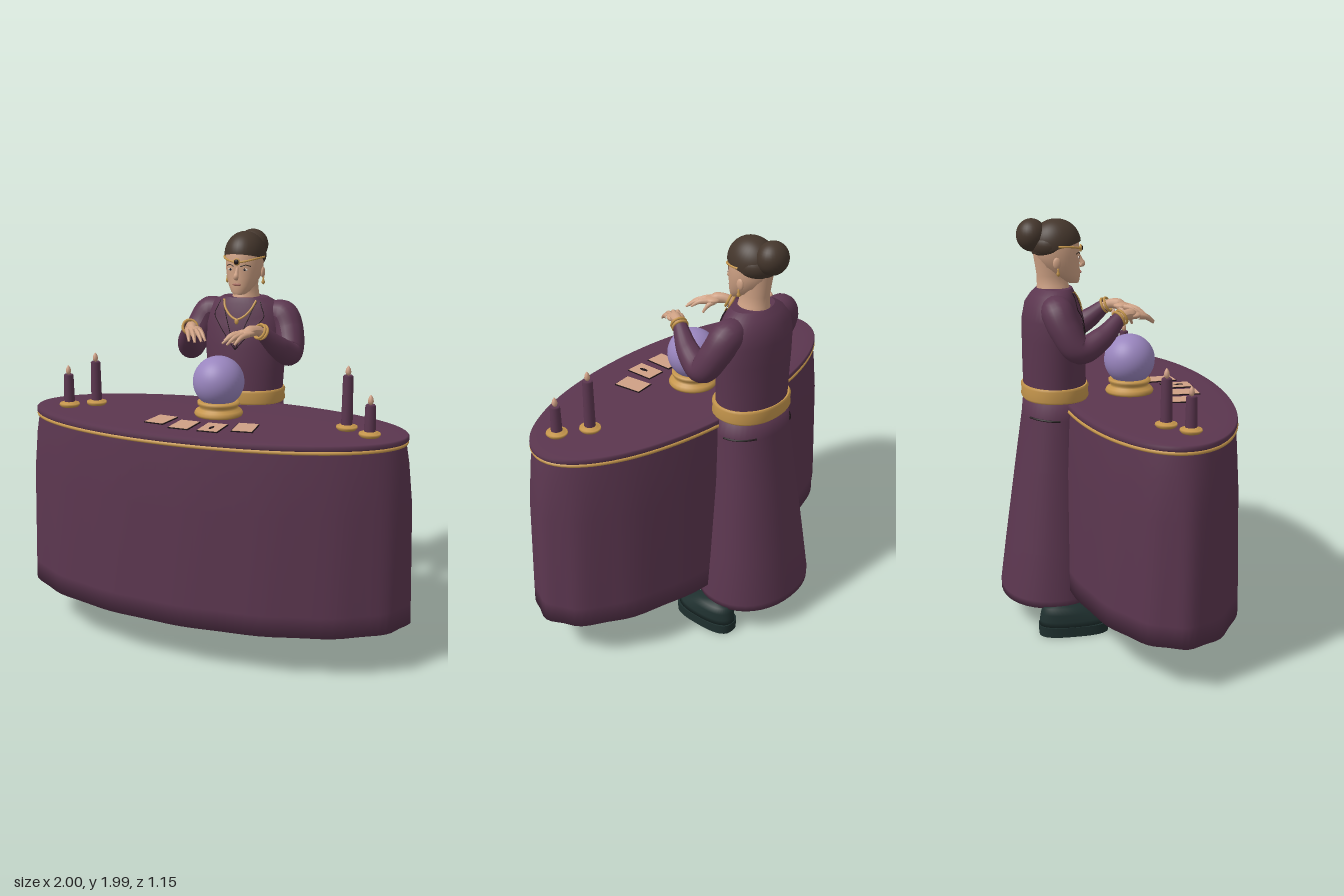
import * as THREE from 'three';

const mat = (name, color, side = THREE.FrontSide) => {
  const m = new THREE.MeshStandardMaterial({ color, side });
  m.name = name;
  return m;
};
const V = (x, y, z) => new THREE.Vector3(x, y, z);

// Closed stack of ellipses [y, rx, rz, centreZ], rising in y; n is the squareness of the section,
// soft shades smoothly over the end caps
function loft(rings, { seg = 40, n = 2, soft = false, ripple = null } = {}) {
  const a0 = rings[0], a1 = rings[rings.length - 1];
  const ends = soft ? rings : [a0, ...rings, a1];
  const rs = [[a0[0], 0, 0, a0[3]], ...ends, [a1[0], 0, 0, a1[3]]];
  const pos = [], idx = [];
  const pw = (v) => Math.sign(v) * Math.abs(v) ** (2 / n);
  rs.forEach(([y, rx, rz, cz], r) => {
    for (let i = 0; i < seg; i++) {
      const a = (i / seg) * Math.PI * 2, k = ripple ? ripple(a, y) : 1;
      pos.push(rx * k * pw(Math.cos(a)), y, cz + rz * k * pw(Math.sin(a)));
      if (r === rs.length - 1) continue;
      const p = r * seg + i, q = r * seg + ((i + 1) % seg);
      idx.push(p, p + seg, q, q, p + seg, q + seg);
    }
  });
  const g = new THREE.BufferGeometry();
  g.setAttribute('position', new THREE.Float32BufferAttribute(pos, 3));
  g.setIndex(idx);
  g.computeVertexNormals();
  return g;
}

// Front surface depth of a loft at (x, y)
function frontZ(rings, x, y) {
  let i = 0;
  while (i < rings.length - 2 && rings[i + 1][0] < y) i++;
  const t = THREE.MathUtils.clamp((y - rings[i][0]) / (rings[i + 1][0] - rings[i][0]), 0, 1);
  const [, rx, rz, cz] = rings[i].map((v, k) => THREE.MathUtils.lerp(v, rings[i + 1][k], t));
  return cz + rz * Math.sqrt(Math.max(0, 1 - (x / rx) ** 2));
}

// Tube through points, its radius following a list
function limb(points, radii, seg = 24, sides = 14, closed = false) {
  const curve = new THREE.CatmullRomCurve3(points, closed);
  const g = new THREE.TubeGeometry(curve, seg, 1, sides, closed), p = g.attributes.position;
  const v = new THREE.Vector3();
  for (let i = 0; i <= seg; i++) {
    const c = curve.getPointAt(i / seg), f = curve.getUtoTmapping(i / seg) * (radii.length - 1);
    const k = Math.min(Math.floor(f), radii.length - 2);
    const r = radii.length === 1 ? radii[0] : THREE.MathUtils.lerp(radii[k], radii[k + 1], f - k);
    for (let j = 0; j <= sides; j++) {
      const id = i * (sides + 1) + j;
      v.fromBufferAttribute(p, id).sub(c).multiplyScalar(r).add(c);
      p.setXYZ(id, v.x, v.y, v.z);
    }
  }
  g.computeVertexNormals();
  return g;
}
const oval = (rx, rz, y, cz, n) => Array.from({ length: n }, (_, i) => {
  const a = (i / n) * Math.PI * 2;
  return V(rx * Math.cos(a), y, cz + rz * Math.sin(a));
});

export function createModel() {
  const plum = mat('plum cloth', 0x5b364f, THREE.DoubleSide), gold = mat('gold', 0xc4954c);
  const skin = mat('skin', 0xcda083), hair = mat('brown hair', 0x44362c);
  const green = mat('dark green leather', 0x1f302f), lilac = mat('lilac glass', 0x9985be);
  const dark = mat('dark line', 0x1e1418, THREE.DoubleSide), lip = mat('lip', 0xa5685c);
  const card = mat('card', 0xcfa085), white = mat('eye white', 0xd8c8bc);
  const model = new THREE.Group();
  const add = (name, geo, m, parent = model, x = 0, y = 0, z = 0) => {
    const mesh = new THREE.Mesh(geo, m);
    mesh.name = name;
    mesh.position.set(x, y, z);
    parent.add(mesh);
    return mesh;
  };
  const ball = (name, m, parent, p, s, seg = 20) => {
    const b = add(name, new THREE.SphereGeometry(1, seg, Math.round(seg * 0.7)), m, parent, ...p);
    b.scale.set(...s);
    return b;
  };
  const group = (name, parent = model) => {
    const g = new THREE.Group();
    g.name = name;
    parent.add(g);
    return g;
  };

  // Table with draped cloth
  const table = group('table'), tz = 0.144;
  const ripple = (a, y) => 1 - 0.009 * Math.max(0, 1.1 - y) * (1 - Math.cos(16 * a));
  add('tablecloth', loft([[0.22, 1, 0.434, tz], [0.32, 0.997, 0.432, tz], [0.8, 0.98, 0.418, tz],
    [1.0, 0.957, 0.405, tz], [1.08, 0.942, 0.398, tz], [1.11, 0.938, 0.396, tz]],
  { seg: 96, soft: true, ripple }), plum, table);
  add('tabletop', loft([[1.102, 0.947, 0.402, tz], [1.107, 0.952, 0.406, tz], [1.122, 0.952, 0.406, tz],
    [1.129, 0.945, 0.402, tz], [1.13, 0.85, 0.35, tz]], { seg: 96, soft: true }), plum, table);
  add('tableTrim', limb(oval(0.942, 0.4, 1.094, tz, 64), [0.009], 128, 8, true), gold, table);

  // Crystal ball on its stand
  const orb = group('crystalBall');
  const lathe = (pts, seg = 32) => new THREE.LatheGeometry(pts.map((p) => new THREE.Vector2(...p)), seg);
  add('stand', lathe([[0, 0], [0.115, 0], [0.12, 0.012], [0.112, 0.026], [0.095, 0.034], [0.093, 0.045],
    [0.104, 0.056], [0.104, 0.068], [0.085, 0.072], [0, 0.06]]), gold, orb, 0, 1.13, 0.083);
  add('glassSphere', new THREE.SphereGeometry(0.125, 40, 28), lilac, orb, 0, 1.295, 0.083);

  // Candles: x, z, wax top
  [[-0.76, 0.2, 1.295], [-0.652, 0.115, 1.352], [0.658, 0.13, 1.388], [0.788, 0.213, 1.28]].forEach(([x, z, top]) => {
    const c = group('candle');
    c.position.set(x, 1.13, z);
    const h = top - 1.13;
    add('candleDish', lathe([[0, 0], [0.042, 0], [0.051, 0.01], [0.049, 0.018], [0.034, 0.014], [0.03, 0.026], [0, 0.026]], 24), gold, c);
    add('wax', lathe([[0.027, 0.015], [0.024, h - 0.006], [0.019, h], [0, h - 0.004]], 18), plum, c);
    add('flame', lathe([[0, h - 0.005], [0.01, h + 0.003], [0.0135, h + 0.014], [0.011, h + 0.028], [0.005, h + 0.039], [0, h + 0.045]], 14), card, c);
  });

  // Cards laid on the cloth
  [[-0.213, 0.29, -0.1], [-0.072, 0.34, -0.02], [0.072, 0.34, 0.02], [0.215, 0.287, 0.12]].forEach(([x, z, r], i) => {
    const c = group('card');
    c.position.set(x, 1.13, z);
    c.rotation.y = r;
    add('cardEdge', new THREE.BoxGeometry(0.102, 0.005, 0.148), dark, c, 0, 0.0025, 0);
    add('cardFace', new THREE.BoxGeometry(0.096, 0.006, 0.142), card, c, 0, 0.004, 0);
    if (i === 2) ball('cardMark', dark, c, [0, 0.007, 0.012], [0.011, 0.002, 0.026], 10);
  });

  // Dress
  const dress = group('dress');
  add('skirt', loft([[0.135, 0.3, 0.246, -0.328], [0.17, 0.304, 0.246, -0.328], [0.4, 0.275, 0.222, -0.322],
    [0.8, 0.228, 0.183, -0.305], [1.05, 0.205, 0.16, -0.292], [1.15, 0.197, 0.152, -0.29]], { n: 2.15, soft: true }), plum, dress);
  const torso = [[1.18, 0.195, 0.152, -0.29], [1.3, 0.202, 0.152, -0.292], [1.42, 0.215, 0.15, -0.294],
    [1.52, 0.218, 0.142, -0.3], [1.59, 0.205, 0.126, -0.302], [1.635, 0.168, 0.105, -0.293], [1.662, 0.118, 0.086, -0.285]];
  add('bodice', loft(torso), plum, dress);
  add('belt', loft([[1.132, 0.2, 0.157, -0.29], [1.142, 0.207, 0.163, -0.29], [1.166, 0.203, 0.16, -0.29],
    [1.192, 0.207, 0.163, -0.29], [1.202, 0.2, 0.157, -0.29]], { n: 2.2 }), gold, dress);
  const onChest = (x, y, o = 0.005) => V(x, y, frontZ(torso, x, y) + o);
  add('necklace', limb([[-0.085, 1.652], [-0.07, 1.615], [-0.038, 1.578], [0, 1.56], [0.038, 1.578], [0.07, 1.615], [0.085, 1.652]]
    .map(([x, y]) => onChest(x, y, 0.01)), [0.0055], 30, 8), gold, dress);
  ball('pendant', gold, dress, onChest(0, 1.55, 0.01).toArray(), [0.011, 0.015, 0.007], 12);

  // Head and neck
  const head = group('head');
  add('neck', loft([[1.63, 0.078, 0.086, -0.288], [1.675, 0.064, 0.076, -0.292], [1.72, 0.056, 0.07, -0.298],
    [1.83, 0.068, 0.08, -0.305]]), skin, head);
  const face = [[1.682, 0.028, 0.025, -0.193], [1.695, 0.046, 0.045, -0.208], [1.725, 0.066, 0.075, -0.235],
    [1.765, 0.083, 0.095, -0.258], [1.81, 0.092, 0.107, -0.27], [1.87, 0.094, 0.112, -0.276], [1.92, 0.08, 0.095, -0.28]];
  add('face', loft(face), skin, head);
  const cap = add('hairCap', new THREE.SphereGeometry(1, 36, 24, 0, Math.PI * 2, 0, Math.PI * 0.55), hair, head, 0, 1.87, -0.276);
  cap.scale.set(0.101, 0.115, 0.121);
  cap.rotation.x = -0.25;
  ball('hairBack', hair, head, [0, 1.865, -0.302], [0.098, 0.075, 0.097], 28);
  ball('bun', hair, head, [0, 1.911, -0.39], [0.078, 0.077, 0.072], 28);
  const onFace = (x, y, o = 0.002) => [x, y, frontZ(face, x, y) + o];
  const band = Array.from({ length: 17 }, (_, i) => {
    const a = (i / 16) * Math.PI, s = Math.sin(a);
    return V(0.101 * Math.cos(a), 1.862 - 0.018 * s ** 3, -0.276 + 0.12 * s);
  });
  add('headband', limb(band, [0.005], 48, 8), gold, head);
  ball('bandSetting', gold, head, [0, 1.845, -0.156], [0.018, 0.018, 0.007], 14);
  ball('bandGem', dark, head, [0, 1.845, -0.152], [0.013, 0.013, 0.008], 14);
  add('nose', limb([V(0, 1.815, -0.166), V(0, 1.79, -0.155), V(0, 1.77, -0.147), V(0, 1.758, -0.163)],
    [0.007, 0.009, 0.014, 0.005], 14, 10), skin, head);
  ball('lips', lip, head, onFace(0, 1.733), [0.022, 0.007, 0.005], 14);

  // Mirrored parts
  [1, -1].forEach((s) => {
    const half = group(s > 0 ? 'leftSide' : 'rightSide');
    half.scale.x = s;
    ball('eyeWhite', white, half, onFace(0.037, 1.806, -0.001), [0.015, 0.007, 0.005], 12);
    ball('pupil', dark, half, onFace(0.037, 1.806, 0.002), [0.006, 0.006, 0.004], 10);
    add('eyebrow', limb([[0.016, 1.821], [0.04, 1.829], [0.062, 1.822]].map((p) => V(...onFace(...p))), [0.0025], 8, 6), hair, half);
    ball('ear', skin, half, [0.092, 1.785, -0.283], [0.01, 0.028, 0.019], 14);
    add('earring', lathe([[0, -0.024], [0.008, -0.017], [0.008, -0.009], [0.004, 0.004], [0.005, 0.012], [0, 0.018]], 10), gold, half, 0.096, 1.748, -0.278);

    // Lapel lying on the chest
    const pos = [], idx = [], edge = [], inner = [];
    for (let i = 0; i <= 12; i++) {
      const t = i / 12, y = 1.645 - 0.235 * t;
      const xi = 0.088 * (1 - t), xo = t < 0.3 ? 0.105 + 0.1 * t : 0.135 * (1 - (t - 0.3) / 0.7);
      for (let k = 0; k <= 2; k++) pos.push(...onChest(xi + ((xo - xi) * k) / 2, y, 0.007).toArray());
      edge.push(onChest(xo, y, 0.007));
      inner.push(onChest(xi, y, 0.007));
      if (i < 12) for (let k = 0; k < 2; k++) {
        const a = i * 3 + k;
        idx.push(a, a + 3, a + 1, a + 1, a + 3, a + 4);
      }
    }
    const lapel = new THREE.BufferGeometry();
    lapel.setAttribute('position', new THREE.Float32BufferAttribute(pos, 3));
    lapel.setIndex(idx);
    lapel.computeVertexNormals();
    add('lapel', lapel, plum, half);
    [edge, inner].forEach((l) => add('lapelSeam', limb(l, [0.002], 24, 5), dark, half));

    // Sleeve, bracelets and hand
    add('sleeve', limb([V(0.11, 1.575, -0.297), V(0.195, 1.572, -0.298), V(0.238, 1.5, -0.272), V(0.262, 1.405, -0.205),
      V(0.235, 1.45, -0.1), V(0.187, 1.533, -0.005)], [0.06, 0.077, 0.073, 0.066, 0.054, 0.034], 48, 20), plum, half);
    const dir = V(-0.05, 0.05, 0.095).normalize();
    [0, 0.016].forEach((d) => {
      const b = add('bracelet', new THREE.TorusGeometry(0.035, 0.0065, 8, 24), gold, half, 0.189 - d * 0.5, 1.533 + d * 0.4, -0.008 + d);
      b.quaternion.setFromUnitVectors(V(0, 0, 1), dir);
    });
    add('wrist', limb([V(0.195, 1.52, -0.02), V(0.172, 1.544, 0.02), V(0.148, 1.544, 0.06), V(0.128, 1.538, 0.085)],
      [0.025, 0.024, 0.028, 0.014], 14, 12), skin, half);
    ball('palm', skin, half, [0.136, 1.538, 0.07], [0.043, 0.018, 0.042], 16);
    [[0.105, 0.078, 0.05, 1.508, 0.138], [0.115, 0.09, 0.052, 1.498, 0.172], [0.132, 0.1, 0.08, 1.495, 0.186],
      [0.155, 0.095, 0.115, 1.495, 0.175], [0.12, 0.05, 0.07, 1.486, 0.08]].forEach(([x, z, tx, ty, tz2]) =>
      add('finger', limb([V(x, 1.535, z), V((x + tx) / 2, (1.54 + ty) / 2 + 0.008, (z + tz2) / 2), V(tx, ty, tz2)],
        [0.015, 0.012, 0.005], 10, 8), skin, half));

    // Seam around the hip
    add('skirtSlit', limb([0, -0.25, -0.5, -0.75, -0.95].map((a) =>
      V(0.208 * Math.cos(a) ** 0.93, 1.05 - 0.01 * Math.sin(a), -0.292 - 0.163 * Math.abs(Math.sin(a)) ** 0.93)), [0.005], 16, 6), dark, half);

    // Shoe with open toe
    const shoe = group('shoe', half);
    shoe.position.x = 0.278;
    add('sole', loft([[0, 0.077, 0.17, -0.25], [0.05, 0.079, 0.172, -0.25]], { n: 2.8 }), green, shoe);
    add('upper', loft([[0.05, 0.075, 0.167, -0.252], [0.075, 0.073, 0.158, -0.258], [0.11, 0.067, 0.125, -0.285],
      [0.142, 0.058, 0.095, -0.305]], { n: 2.4, soft: true }), green, shoe);
    ball('toe', skin, shoe, [-0.05, 0.035, -0.105], [0.018, 0.014, 0.02], 12);
  });
  return model;
}
